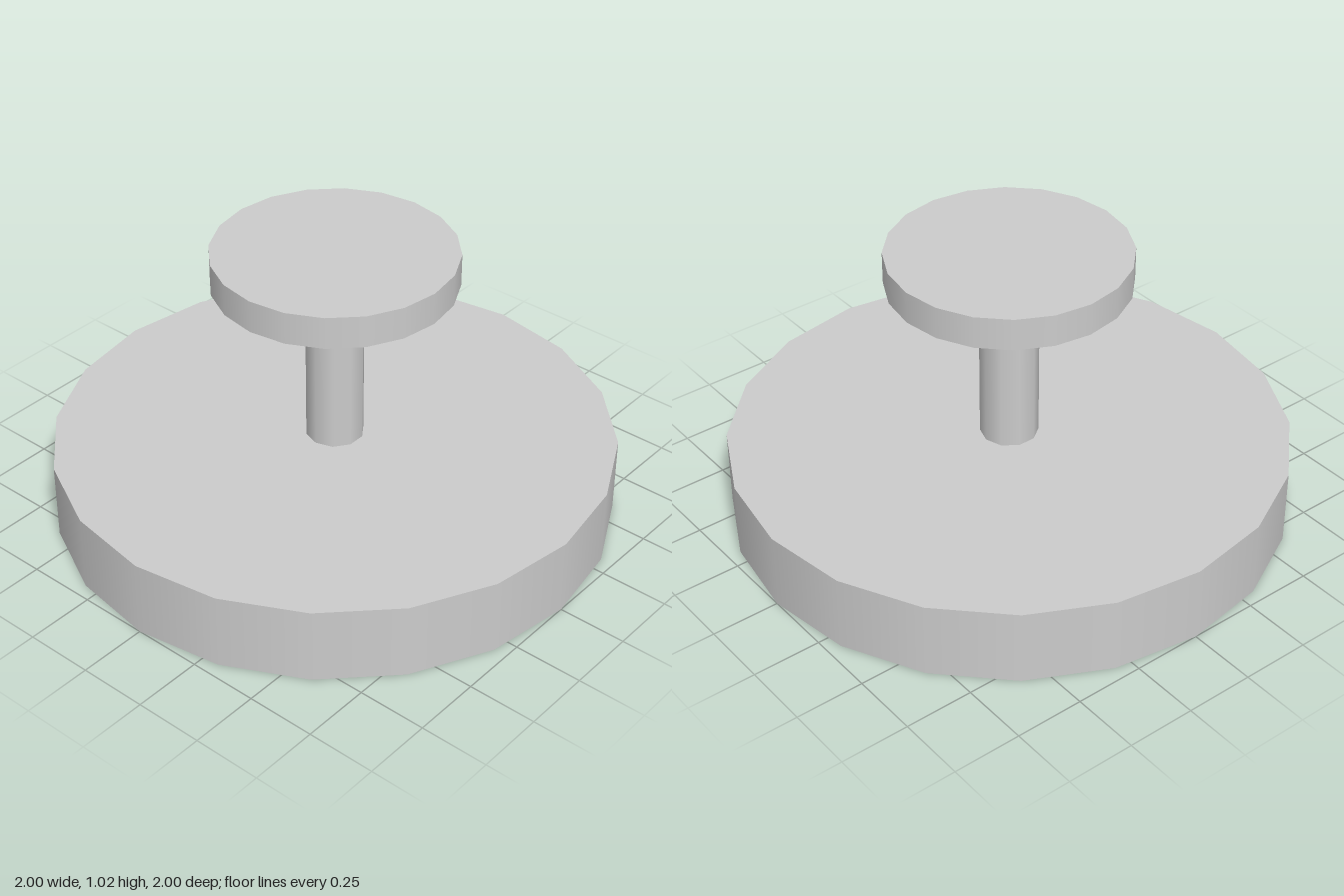
import * as THREE from 'three';

const material = new THREE.MeshStandardMaterial({ color: 0xcccccc });

// Upright disc standing between two heights
function disc(name, radius, bottom, top) {
  const mesh = new THREE.Mesh(new THREE.CylinderGeometry(radius, radius, top - bottom, 20), material);
  mesh.position.y = (bottom + top) / 2;
  mesh.name = name;
  return mesh;
}

// Ten-sided post, optionally wider at the top, with corners on the x axis
function post(name, topRadius, bottomRadius, bottom, top) {
  const geometry = new THREE.CylinderGeometry(topRadius, bottomRadius, top - bottom, 10, 1, false, Math.PI / 2);
  const mesh = new THREE.Mesh(geometry, material);
  mesh.position.y = (bottom + top) / 2;
  mesh.name = name;
  return mesh;
}

export function createModel() {
  const model = new THREE.Group();
  model.name = 'pedestal';
  model.add(
    disc('base', 1, 0, 0.28),
    post('stem', 0.104, 0.104, 0.28, 0.745),
    post('flaredCollar', 0.155, 0.104, 0.745, 0.903),
    disc('topPlate', 0.427, 0.903, 1.02),
  );
  return model;
}
